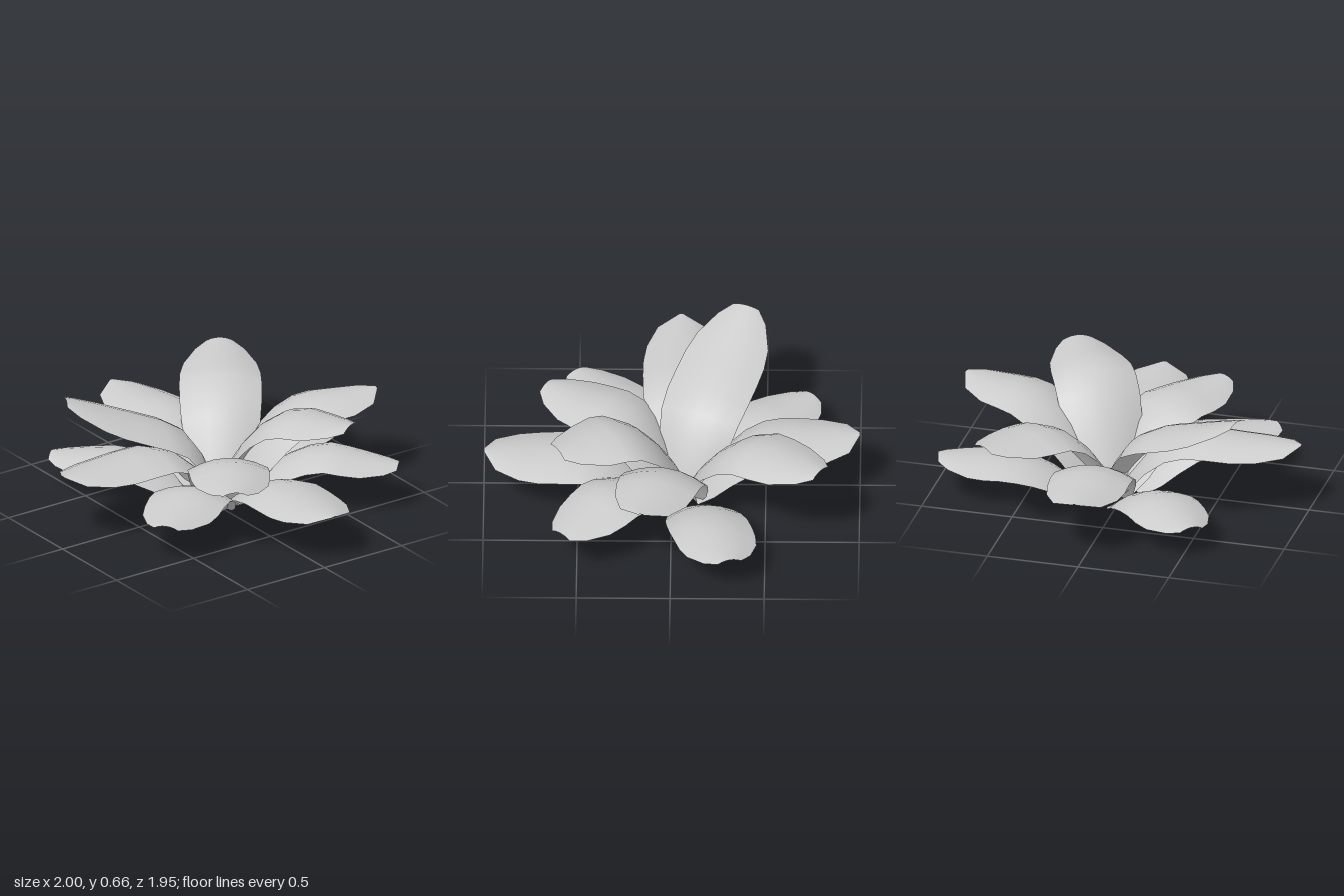
import * as THREE from 'three';

const CENTRE = [-0.06, -0.075];

// Along each leaf: [fraction of its length, half width relative to the widest point]
const OUTLINE = [
  [0, 0.5], [0.12, 0.72], [0.25, 0.87], [0.38, 0.96], [0.5, 1],
  [0.62, 1], [0.72, 0.98], [0.82, 0.89], [0.94, 0.6],
];
const ACROSS = 6;

// Tip x, tip z, crest radius, crest height, tip height, half width, base radius, tip width
const LEAVES = [
  // upper ring
  [0.605, -0.445, 0.39, 0.57, 0.57, 0.225, -0.05, 0.35],
  [-0.385, 0.71, 0.25, 0.43, 0.66, 0.23, 0, 0.32],
  [-0.795, -0.58, 0.45, 0.52, 0.54, 0.22, 0, 0.32],
  [0.155, -0.93, 0.5, 0.495, 0.51, 0.22, 0.02, 0.08],
  // middle ring
  [0.675, 0.35, 0.41, 0.41, 0.405, 0.215, 0.03, 0.3],
  [-0.04, 0.97, 0.42, 0.395, 0.4, 0.21, 0.03, 0.06],
  [-1, -0.02, 0.48, 0.37, 0.365, 0.215, 0.05, 0.06],
  [0.585, -0.775, 0.55, 0.325, 0.26, 0.205, 0.06, 0.32],
  // lower ring
  [1, -0.07, 0.52, 0.28, 0.28, 0.23, 0.13, 0.06],
  [0.515, 0.69, 0.54, 0.285, 0.24, 0.21, 0.12, 0.32],
  [-0.315, -0.96, 0.57, 0.22, 0.23, 0.215, 0.12, 0.3],
  [-0.745, 0.555, 0.57, 0.215, 0.185, 0.21, 0.14, 0.32],
];

// A thin arched blade: rises from the base, bends over at the crest, runs out to the tip
function leafGeometry(length, crestR, crestY, tipY, halfWidth, baseR, tipWidth) {
  const at = (f, y) => new THREE.Vector3(baseR + (crestR - baseR) * f, crestY * y, 0);
  const rib = new THREE.CatmullRomCurve3([
    at(0, 0), at(0.35, 0.54), at(0.67, 0.85), at(1, 1),
    new THREE.Vector3((crestR + length) / 2, (crestY + tipY) / 2, 0),
    new THREE.Vector3(length, tipY, 0),
  ]);
  const positions = [], index = [];
  [...OUTLINE, [1, tipWidth]].forEach(([s, w], i) => {
    const p = rib.getPointAt(s), t = rib.getTangentAt(s);
    for (let j = 0; j <= ACROSS; j++) {
      const v = (j / ACROSS) * 2 - 1;
      const droop = 0.058 * v * v * w; // edges fall away from the midrib
      positions.push(p.x + t.y * droop, Math.max(0, p.y - t.x * droop), v * w * halfWidth);
      if (i && j) {
        const d = i * (ACROSS + 1) + j, c = d - 1, b = d - ACROSS - 1, a = b - 1;
        index.push(a, b, d, a, d, c);
      }
    }
  });
  const geometry = new THREE.BufferGeometry();
  geometry.setAttribute('position', new THREE.Float32BufferAttribute(positions, 3));
  geometry.setIndex(index);
  geometry.computeVertexNormals();
  return geometry;
}

export function createModel() {
  const model = new THREE.Group();
  model.name = 'leafRosette';
  const material = new THREE.MeshStandardMaterial({ color: 0xcccccc, side: THREE.DoubleSide });
  const rings = ['upperLeaves', 'middleLeaves', 'lowerLeaves'].map((name) => {
    const ring = new THREE.Group();
    ring.name = name;
    model.add(ring);
    return ring;
  });

  LEAVES.forEach(([x, z, ...shape], i) => {
    const dx = x - CENTRE[0], dz = z - CENTRE[1];
    const leaf = new THREE.Mesh(leafGeometry(Math.hypot(dx, dz), ...shape), material);
    leaf.name = 'leaf' + (i + 1);
    leaf.position.set(CENTRE[0], 0, CENTRE[1]);
    leaf.rotation.y = Math.atan2(-dz, dx);
    rings[Math.floor(i / 4)].add(leaf);
  });
  return model;
}
